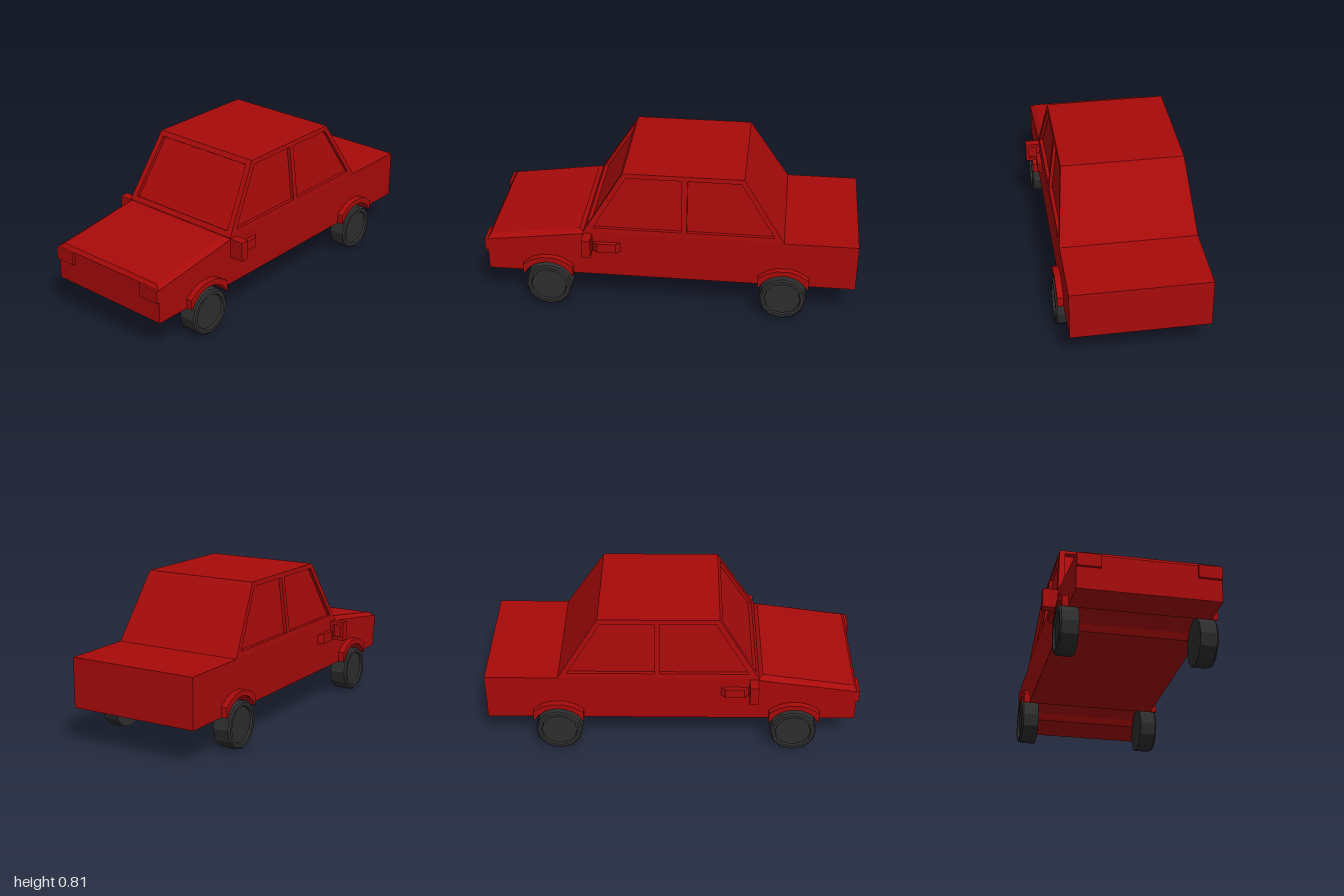
import * as THREE from 'three';

const red = new THREE.MeshStandardMaterial({ color: 0xa80a0a, flatShading: true });
const rubber = new THREE.MeshStandardMaterial({ color: 0x2e2e2e, flatShading: true });

const toShape = (pts) => new THREE.Shape(pts.map(([u, v]) => new THREE.Vector2(u, v)));

// Extruded outline with optional holes
function extrude(pts, depth, holes = []) {
  const shape = toShape(pts);
  holes.forEach((h) => shape.holes.push(toShape(h)));
  return new THREE.ExtrudeGeometry(shape, { depth, bevelEnabled: false });
}

// Outline drawn in (z, y), extruded inward from the plane x
const sideExtrude = (pts, x, depth, holes) =>
  extrude(pts, depth, holes).rotateY(-Math.PI / 2).translate(x, 0, 0);

// Move every vertex of a geometry by a rule
function bend(geo, rule) {
  const p = geo.attributes.position;
  for (let i = 0; i < p.count; i++) p.setXYZ(i, ...rule(p.getX(i), p.getY(i), p.getZ(i)));
  geo.computeVertexNormals();
  return geo;
}

// Six-sided block whose corners come from a rule on (+-1, +-1, +-1)
const block = (rule) => bend(new THREE.BoxGeometry(2, 2, 2), rule);

const box = (x0, x1, y0, y1, z0, z1) =>
  new THREE.BoxGeometry(x1 - x0, y1 - y0, z1 - z0)
    .translate((x0 + x1) / 2, (y0 + y1) / 2, (z0 + z1) / 2);

// Copy to the other side of x = 0, keeping faces outward
function mirrored(geo) {
  const g = geo.index ? geo.toNonIndexed() : geo.clone();
  const p = g.attributes.position;
  for (let i = 0; i < p.count; i += 3) {
    const t = [0, 1, 2].map((k) => [-p.getX(i + k), p.getY(i + k), p.getZ(i + k)]);
    p.setXYZ(i, ...t[0]);
    p.setXYZ(i + 1, ...t[2]);
    p.setXYZ(i + 2, ...t[1]);
  }
  g.computeVertexNormals();
  return g;
}

const WHEELS = { front: 0.655, rear: -0.615 };
const AXLE_Y = 0.13;
const SILL = 0.195;

// Wheel-arch cut, from front to back of the wheel
function arch(z) {
  const r = 0.145;
  const a0 = Math.asin((SILL - AXLE_Y) / r);
  return Array.from({ length: 9 }, (_, i) => {
    const a = a0 + ((Math.PI - 2 * a0) * i) / 8;
    return [z + r * Math.cos(a), AXLE_Y + r * Math.sin(a)];
  });
}

export function createModel() {
  const car = new THREE.Group();
  car.name = 'car';
  const add = (name, geo, mat = red) => {
    const mesh = new THREE.Mesh(geo, mat);
    mesh.name = name;
    car.add(mesh);
  };
  const addPair = (name, geo, mat) => {
    add(name + 'Left', geo, mat);
    add(name + 'Right', mirrored(geo), mat);
  };

  // Lower body with arches cut through its full width
  add('body', sideExtrude([
    [0.985, SILL], ...arch(WHEELS.front), ...arch(WHEELS.rear), [-1, SILL],
    [-1, 0.46], [0.45, 0.46], [0.46, 0.45], [0.985, 0.38],
  ], 0.36, 0.72));

  // Hood with bevelled edges
  add('hood', block((x, y, z) => [
    x * (y > 0 ? 0.33 : 0.36),
    (z > 0 ? 0.38 : 0.45) + (y > 0 ? 0.02 : 0),
    z > 0 ? (y > 0 ? 0.97 : 0.985) : (y > 0 ? 0.48 : 0.45),
  ]));

  // Cabin planes: half width and windshield position by height
  const halfWidth = (y) => 0.36 - 0.04 * THREE.MathUtils.clamp((y - 0.47) / 0.34, 0, 1);
  const shieldZ = (y) => 0.46 - (0.215 * (y - 0.46)) / 0.35;

  // Inner cabin, whose front and sides form the recessed windows
  add('cabin', block((x, y, z) => {
    const h = y > 0 ? 0.81 : 0.46;
    return [
      x * (halfWidth(h) - 0.018), h,
      z > 0 ? shieldZ(h) - 0.0235 : (y > 0 ? -0.39 : -0.61),
    ];
  }));

  // Window frames along both sides
  const sideFrame = sideExtrude(
    [[0.46, 0.46], [0.245, 0.81], [-0.39, 0.81], [-0.61, 0.46]], 0, 0.03,
    [
      [[0.405, 0.49], [-0.065, 0.49], [-0.065, 0.785], [0.227, 0.785]],
      [[-0.095, 0.49], [-0.56, 0.49], [-0.375, 0.785], [-0.095, 0.785]],
    ]);
  addPair('sideWindowFrame', bend(sideFrame, (x, y, z) => [x + halfWidth(y), y, z]));

  // Windshield frame, recessed square to the glass
  const shield = extrude(
    [[-0.36, 0.46], [0.36, 0.46], [0.32, 0.81], [-0.32, 0.81]], 0.025,
    [[[-0.326, 0.485], [0.326, 0.485], [0.294, 0.785], [-0.294, 0.785]]]);
  add('windshieldFrame', bend(shield, (x, y, z) => {
    const d = 0.025 - z;
    return y > 0.8
      ? [x, y, shieldZ(y) - 1.17 * d]
      : [x, y - 0.52 * d, shieldZ(y) - 0.85 * d];
  }));

  // Headlights
  addPair('headlight', box(0.24, 0.36, 0.312, 0.38, 0.97, 1));

  // Mirrors: solid front plate and a rim around the recessed glass
  addPair('mirrorPlate', box(0.35, 0.438, 0.35, 0.455, 0.425, 0.457));
  addPair('mirrorRim', extrude(
    [[0.35, 0.35], [0.438, 0.35], [0.438, 0.455], [0.35, 0.455]], 0.015,
    [[[0.376, 0.368], [0.42, 0.368], [0.42, 0.437], [0.376, 0.437]]],
  ).translate(0, 0, 0.41));

  // Door handles, tapered at both ends
  addPair('doorHandle', block((x, y, z) => [
    x > 0 ? 0.383 : 0.35,
    y > 0 ? 0.405 : 0.352,
    0.333 + z * (x > 0 ? 0.05 : 0.083),
  ]));

  for (const [end, z] of Object.entries(WHEELS)) {
    // Fender flare
    const flare = [[-0.136, 0.195], [-0.136, 0.25], [-0.085, 0.285], [-0.035, 0.302],
      [0.035, 0.302], [0.085, 0.285], [0.136, 0.25], [0.136, 0.195]];
    addPair(end + 'Fender', sideExtrude(
      [...flare.map(([u, v]) => [z + u, v]), ...arch(z)], 0.393, 0.05));

    // Twelve-sided wheel with a dished outer face
    const profile = [[0, 0], [0.126, 0], [0.126, 0.086], [0.117, 0.095],
      [0.1, 0.095], [0.095, 0.083], [0, 0.083]];
    const wheel = new THREE.LatheGeometry(
      profile.map(([r, h]) => new THREE.Vector2(r, h)), 12);
    wheel.rotateZ(-Math.PI / 2).translate(0.304, AXLE_Y - 0.004, z);
    addPair(end + 'Wheel', wheel, rubber);
  }
  return car;
}
